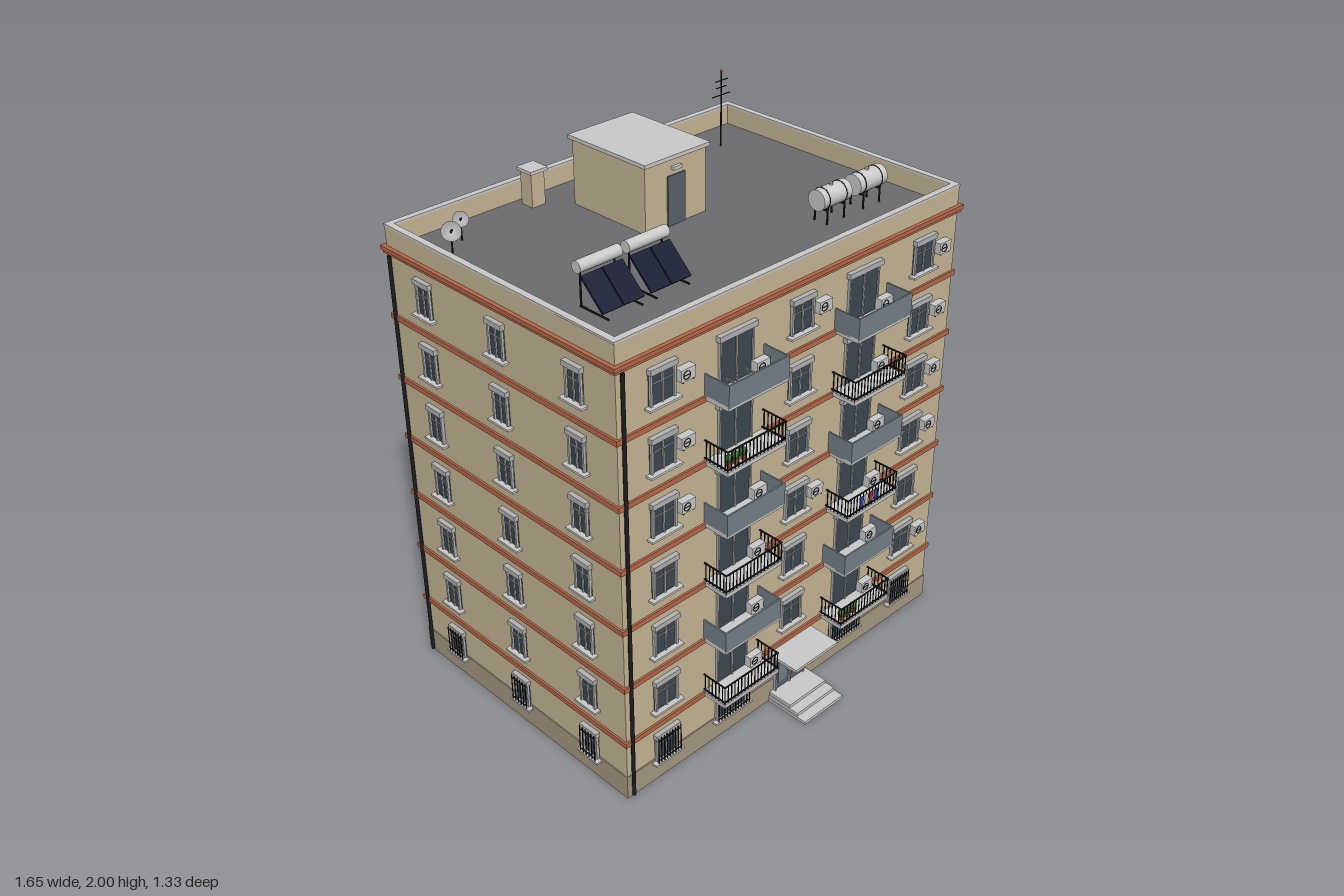
import * as THREE from 'three';

const mat = (color, extra = {}) => new THREE.MeshStandardMaterial({ color, ...extra });
const M = {
  wall: mat(0xc8b896), plinth: mat(0xa89a82), brick: mat(0xb8694a), roof: mat(0x6c6c70),
  grey: mat(0xcccccc), frame: mat(0xb4b4b4), glass: mat(0x3c4850), iron: mat(0x1c1c1e),
  panel: mat(0x76828a), door: mat(0x5a646c), solar: mat(0x141a30), green: mat(0x2f6a2a),
  pot: mat(0xa0522d), red: mat(0xc02828), blue: mat(0x2a4aa0),
  dish: mat(0xaaaaaa, { side: THREE.DoubleSide }),
};
const FRONT = 0.47, BACK = -0.65, SIDE = 0.8, ZC = -0.09;
const base = k => 0.243 + 0.24 * (k - 1);

function add(parent, name, geo, m, x = 0, y = 0, z = 0) {
  const mesh = new THREE.Mesh(geo, m);
  mesh.name = name;
  mesh.position.set(x, y, z);
  parent.add(mesh);
  return mesh;
}
const box = (p, name, m, w, h, d, x, y, z) => add(p, name, new THREE.BoxGeometry(w, h, d), m, x, y, z);
const cyl = (p, name, m, r, h, x, y, z, n = 12) => add(p, name, new THREE.CylinderGeometry(r, r, h, n), m, x, y, z);
function group(parent, name, x = 0, y = 0, z = 0, ry = 0) {
  const g = new THREE.Group();
  g.name = name;
  g.position.set(x, y, z);
  g.rotation.y = ry;
  parent.add(g);
  return g;
}

// Framed window facing +z, centred on its origin
function windowUnit(parent, x, y, z, ry, w, h, barred) {
  const g = group(parent, barred ? 'barredWindow' : 'window', x, y, z, ry);
  box(g, 'glass', M.glass, w, h, 0.006, 0, 0, 0.002);
  for (const s of [-1, 1]) box(g, 'jamb', M.frame, 0.008, h, 0.014, s * (w / 2 - 0.004), 0, 0.005);
  box(g, 'mullion', M.frame, 0.006, h, 0.012, 0, 0, 0.004);
  box(g, 'transom', M.frame, w, 0.004, 0.01, 0, h * 0.1, 0.003);
  box(g, 'shutterBox', M.frame, w + 0.008, 0.02, 0.02, 0, h / 2 - 0.004, 0.008);
  box(g, 'sill', M.grey, w + 0.03, 0.008, 0.03, 0, -h / 2 - 0.003, 0.01);
  if (!barred) return;
  const n = Math.round(w / 0.014);
  for (let i = 0; i <= n; i++) box(g, 'bar', M.iron, 0.003, h, 0.003, (i / n - 0.5) * w, 0, 0.022);
  for (const s of [-0.38, 0.38]) box(g, 'crossBar', M.iron, w, 0.003, 0.003, 0, s * h, 0.022);
}

function airConditioner(parent, x, y, z) {
  const g = group(parent, 'airConditioner', x, y, z);
  box(g, 'casing', M.grey, 0.06, 0.042, 0.028, 0, 0, 0.016);
  add(g, 'fanGrille', new THREE.TorusGeometry(0.014, 0.0015, 6, 20), M.iron, -0.008, 0, 0.031);
  box(g, 'fanHub', M.iron, 0.02, 0.002, 0.002, -0.008, 0, 0.031);
  for (const s of [-1, 1]) box(g, 'bracket', M.iron, 0.003, 0.004, 0.03, s * 0.022, -0.023, 0.015);
}

function plants(parent) {
  for (const x of [-0.105, -0.075, -0.04]) {
    add(parent, 'flowerPot', new THREE.CylinderGeometry(0.011, 0.008, 0.02, 10), M.pot, x, 0.022, 0.08);
    add(parent, 'plant', new THREE.IcosahedronGeometry(0.014, 1), M.green, x, 0.042, 0.08);
  }
}

function laundry(parent) {
  [M.blue, M.grey, M.red, M.blue].forEach((m, i) =>
    box(parent, 'laundry', m, 0.018, 0.042, 0.003, -0.07 + i * 0.025, 0.06, 0.112));
}

function dryingRack(parent) {
  for (const s of [-1, 1]) {
    box(parent, 'rackEnd', M.grey, 0.003, 0.003, 0.04, -0.035 + s * 0.045, 0.065, 0.055);
    for (const t of [-1, 1]) {
      const leg = box(parent, 'rackLeg', M.grey, 0.003, 0.06, 0.003, -0.035 + s * 0.045, 0.036, 0.055);
      leg.rotation.x = t * 0.45;
    }
  }
  for (const z of [-0.015, 0, 0.015]) box(parent, 'rackLine', M.grey, 0.09, 0.002, 0.002, -0.035, 0.066, 0.055 + z);
}

// Balcony with glazed door; solid panels or iron railing
function balcony(parent, x, k) {
  const g = group(parent, 'balcony', x, base(k), FRONT);
  box(g, 'slab', M.grey, 0.27, 0.016, 0.105, 0, 0.004, 0.0525);
  box(g, 'doorGlass', M.glass, 0.15, 0.168, 0.006, 0, 0.096, 0.002);
  for (const s of [-0.073, 0, 0.073]) box(g, 'doorFrame', M.frame, 0.006, 0.168, 0.012, s, 0.096, 0.004);
  box(g, 'doorShutterBox', M.frame, 0.17, 0.02, 0.02, 0, 0.189, 0.008);
  if (k % 2 === 0) {
    box(g, 'frontPanel', M.panel, 0.27, 0.082, 0.006, 0, 0.047, 0.104);
    for (const s of [-1, 1]) box(g, 'sidePanel', M.panel, 0.006, 0.082, 0.104, s * 0.132, 0.047, 0.052);
  } else {
    for (const y of [0.02, 0.086]) {
      box(g, 'rail', M.iron, 0.27, 0.004, 0.005, 0, y, 0.102);
      for (const s of [-1, 1]) box(g, 'sideRail', M.iron, 0.005, 0.004, 0.104, s * 0.132, y, 0.052);
    }
    for (let i = 0; i <= 16; i++) box(g, 'baluster', M.iron, 0.003, 0.076, 0.003, -0.132 + i * 0.0165, 0.048, 0.102);
    for (const s of [-1, 1]) for (let i = 0; i < 6; i++)
      box(g, 'sideBaluster', M.iron, 0.003, 0.076, 0.003, s * 0.132, 0.048, 0.008 + i * 0.0165);
  }
  const left = x < 0;
  if (!(left && k === 5)) airConditioner(g, 0.095, 0.036, 0.005);
  if ((left && k === 5) || (!left && (k === 1 || k === 6))) plants(g);
  if (!left && k === 3) laundry(g);
  if (left && k === 6) dryingRack(g);
}

function entrance(parent) {
  const g = group(parent, 'entrance', 0, 0, FRONT);
  box(g, 'lowerStep', M.grey, 0.206, 0.013, 0.185, 0, 0.0065, 0.0925);
  box(g, 'middleStep', M.grey, 0.2, 0.013, 0.145, 0, 0.0195, 0.0725);
  box(g, 'upperStep', M.grey, 0.194, 0.013, 0.105, 0, 0.0325, 0.0525);
  box(g, 'doorLeaves', M.door, 0.15, 0.16, 0.01, 0, 0.119, 0.004);
  for (const x of [-0.075, 0, 0.075]) box(g, 'doorPost', M.frame, 0.007, 0.165, 0.018, x, 0.12, 0.006);
  box(g, 'doorHead', M.frame, 0.157, 0.007, 0.018, 0, 0.2, 0.006);
  for (const s of [-1, 1]) {
    box(g, 'doorPane', M.panel, 0.045, 0.12, 0.004, s * 0.037, 0.125, 0.009);
    box(g, 'handle', M.grey, 0.003, 0.035, 0.008, s * 0.009, 0.115, 0.013);
  }
  box(g, 'plate', M.blue, 0.03, 0.013, 0.005, 0, 0.212, 0.004);
  box(g, 'canopy', M.grey, 0.225, 0.012, 0.14, 0, 0.228, 0.07);
  box(g, 'intercom', M.frame, 0.018, 0.028, 0.008, 0.103, 0.112, 0.004);
}

// Rooftop equipment, origin on the roof surface
function rooftop(parent) {
  const r = group(parent, 'rooftop', 0, 1.703, 0);
  box(r, 'stairHouse', M.wall, 0.28, 0.24, 0.36, 0, 0.12, -0.288);
  box(r, 'stairHouseCap', M.grey, 0.3, 0.014, 0.385, 0, 0.247, -0.288);
  box(r, 'stairDoor', M.door, 0.08, 0.18, 0.01, 0, 0.09, -0.107);
  box(r, 'stairLamp', M.grey, 0.04, 0.012, 0.015, 0, 0.205, -0.103);
  for (const x of [-0.24, 0.237]) {
    box(r, 'chimney', M.wall, 0.058, 0.125, 0.058, x, 0.0625, -0.57);
    box(r, 'chimneyCap', M.grey, 0.075, 0.012, 0.078, x, 0.131, -0.57);
  }
  for (const x of [-0.56, -0.36]) {
    const g = group(r, 'solarHeater', x, 0, 0);
    for (const s of [-1, 1]) {
      const p = box(g, 'collector', M.solar, 0.083, 0.008, 0.135, s * 0.0435, 0.07, 0.197);
      p.rotation.x = 0.76;
      box(g, 'heaterLeg', M.iron, 0.005, 0.125, 0.005, s * 0.07, 0.0625, 0.13);
      box(g, 'heaterFoot', M.iron, 0.005, 0.005, 0.13, s * 0.07, 0.004, 0.19);
    }
    cyl(g, 'heaterTank', M.grey, 0.021, 0.172, 0, 0.141, 0.131, 20).rotation.z = Math.PI / 2;
  }
  for (const x of [0.396, 0.582]) {
    const g = group(r, 'waterTank', x, 0, 0.233);
    cyl(g, 'tank', M.grey, 0.038, 0.14, 0, 0.088, 0, 24).rotation.z = Math.PI / 2;
    cyl(g, 'tankLid', M.frame, 0.007, 0.008, 0, 0.128, 0);
    for (const s of [-0.043, 0.043]) {
      add(g, 'tankStrap', new THREE.TorusGeometry(0.038, 0.002, 6, 24), M.iron, s, 0.088, 0).rotation.y = Math.PI / 2;
      for (const z of [-0.028, 0.028]) box(g, 'tankLeg', M.iron, 0.005, 0.065, 0.005, s, 0.0325, z);
      box(g, 'tankCradle', M.iron, 0.005, 0.005, 0.06, s, 0.05, 0);
    }
  }
  const bowl = [0, 1, 2, 3, 4].map(i => new THREE.Vector2(i * 0.0085, i * i * 0.0008));
  for (const [x, z, s] of [[-0.68, -0.45, 1], [-0.6, -0.505, 0.8]]) {
    const g = group(r, 'satelliteDish', x, 0, z);
    cyl(g, 'dishMast', M.iron, 0.003, 0.08, 0, 0.04, 0, 8);
    const d = group(g, 'dishHead', 0, 0.075, 0);
    d.scale.setScalar(s);
    d.quaternion.setFromUnitVectors(new THREE.Vector3(0, 1, 0), new THREE.Vector3(-0.4, 0.55, 0.73).normalize());
    add(d, 'dishBowl', new THREE.LatheGeometry(bowl, 24), M.dish);
    cyl(d, 'feedArm', M.iron, 0.0015, 0.035, 0, 0.0175, 0, 6);
    add(d, 'feedHorn', new THREE.SphereGeometry(0.004, 8, 6), M.iron, 0, 0.035, 0);
  }
  const a = group(r, 'antenna', 0.597, 0, -0.485);
  cyl(a, 'antennaMast', M.iron, 0.003, 0.29, 0, 0.145, 0, 8);
  for (const [y, w] of [[0.2, 0.095], [0.23, 0.05], [0.256, 0.065]]) box(a, 'antennaBar', M.iron, w, 0.003, 0.003, 0, y, 0);
  add(a, 'warningLight', new THREE.SphereGeometry(0.005, 10, 8), M.red, 0, 0.292, 0);
}

// Rectangular ring lying flat, from y upwards
function ring(parent, name, m, over, thick, h, y) {
  const rect = (S, o) => {
    const p = new S(), a = SIDE + o, f = FRONT + o, b = BACK - o;
    return p.moveTo(-a, -f).lineTo(a, -f).lineTo(a, -b).lineTo(-a, -b).closePath();
  };
  const shape = rect(THREE.Shape, over);
  shape.holes.push(rect(THREE.Path, over - thick));
  const geo = new THREE.ExtrudeGeometry(shape, { depth: h, bevelEnabled: false });
  add(parent, name, geo.rotateX(-Math.PI / 2), m, 0, y, 0);
}

export function createModel() {
  const model = new THREE.Group();
  model.name = 'apartmentBuilding';
  box(model, 'walls', M.wall, 1.6, 1.695, 1.12, 0, 0.8475, ZC);
  box(model, 'roofDeck', M.roof, 1.57, 0.01, 1.09, 0, 1.698, ZC);
  ring(model, 'plinth', M.plinth, 0.004, 0.01, 0.095, 0);
  ring(model, 'parapet', M.wall, 0, 0.02, 0.08, 1.695);
  ring(model, 'coping', M.grey, 0.002, 0.025, 0.008, 1.774);
  for (let k = 1; k <= 6; k++) ring(model, 'floorBand', M.brick, 0.008, 0.02, 0.02, base(k) - 0.01);
  ring(model, 'corniceLower', M.brick, 0.01, 0.02, 0.012, 1.678);
  ring(model, 'cornice', M.brick, 0.015, 0.03, 0.015, 1.689);

  // Windows on every floor; the ground floor is barred
  for (let k = 0; k <= 6; k++) {
    const ground = k === 0, h = ground ? 0.115 : 0.125, y = ground ? 0.142 : base(k) + 0.132;
    for (const x of [-0.62, 0, 0.62]) if (!(ground && x === 0)) windowUnit(model, x, y, FRONT, 0, 0.105, h, ground);
    if (ground) for (const x of [-0.303, 0.303]) windowUnit(model, x, y, FRONT, 0, 0.155, h, true);
    for (const x of [-0.62, -0.207, 0.207, 0.62]) windowUnit(model, x, y, BACK, Math.PI, 0.1, h, ground);
    for (const s of [-1, 1]) for (const z of [0.29, -0.08, -0.455])
      windowUnit(model, s * SIDE, y, z, s * Math.PI / 2, 0.075, h, ground);
    if (!ground) for (const x of [-0.303, 0.303]) balcony(model, x, k);
  }
  // Wall-mounted units beside the front windows, listed by floor
  const units = { 1: [0.71], 3: [0.087, 0.71], 4: [-0.533, 0.71], 5: [-0.533, 0.71], 6: [-0.533, 0.087, 0.71] };
  for (const k in units) for (const x of units[k]) airConditioner(model, x, base(k) + 0.138, FRONT);

  // Downpipes near the corners
  for (const [x, z] of [[-0.778, 0.478], [0.778, -0.658], [-0.808, -0.63], [0.808, 0.447]])
    cyl(model, 'downpipe', M.iron, 0.007, 1.67, x, 0.84, z, 10);

  entrance(model);
  rooftop(model);
  return model;
}
